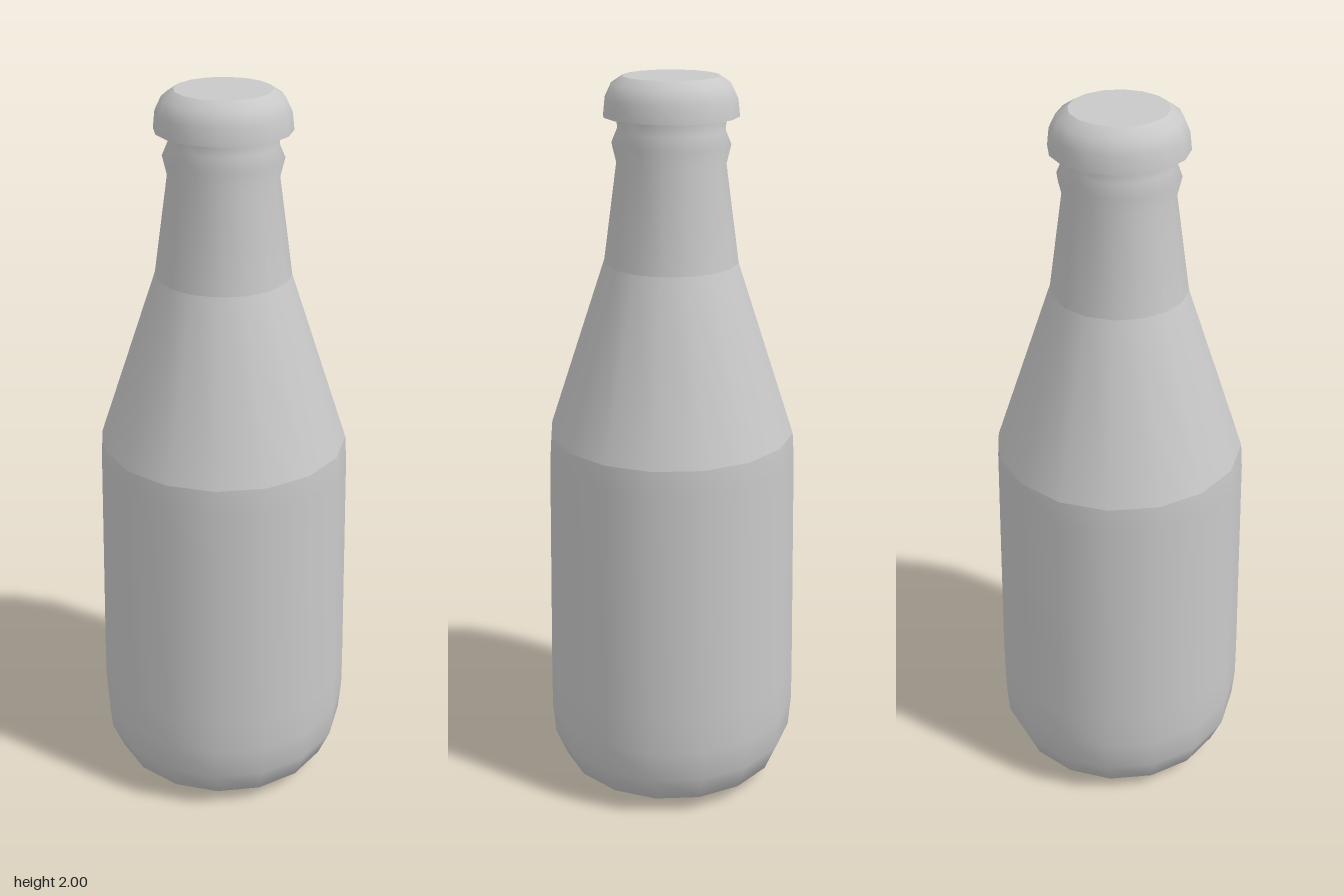
import * as THREE from 'three';

const SIDES = 16;

export function createModel() {
  const model = new THREE.Group();
  model.name = 'bottle';
  const grey = new THREE.MeshStandardMaterial({ color: 0xc8c8c8, side: THREE.DoubleSide });
  grey.name = 'plain grey';

  // Each part is turned from its own profile, so creases stay between parts
  function turn(name, profile) {
    const points = profile.map(([r, y]) => new THREE.Vector2(r, y));
    const mesh = new THREE.Mesh(new THREE.LatheGeometry(points, SIDES), grey);
    mesh.name = name;
    model.add(mesh);
  }

  turn('base', [[0, 0], [0.237, 0]]);

  // Rounded foot and slightly tapering wall
  turn('body', [
    [0.237, 0], [0.316, 0.05], [0.349, 0.13], [0.356, 0.22],
    [0.355, 0.32], [0.341, 0.98], [0.336, 1.05],
  ]);

  turn('shoulder', [[0.336, 1.05], [0.18, 1.52]]);

  // Neck with the small ring below the cap
  turn('neck', [
    [0.18, 1.52], [0.144, 1.78], [0.156, 1.83], [0.141, 1.865], [0.143, 1.9], [0.143, 1.95],
  ]);

  // Cap skirt, open underneath, and its flat top
  turn('cap', [[0.177, 1.9], [0.172, 1.945], [0.155, 1.98], [0.125, 2]]);
  turn('capTop', [[0.125, 2], [0, 2]]);

  return model;
}
